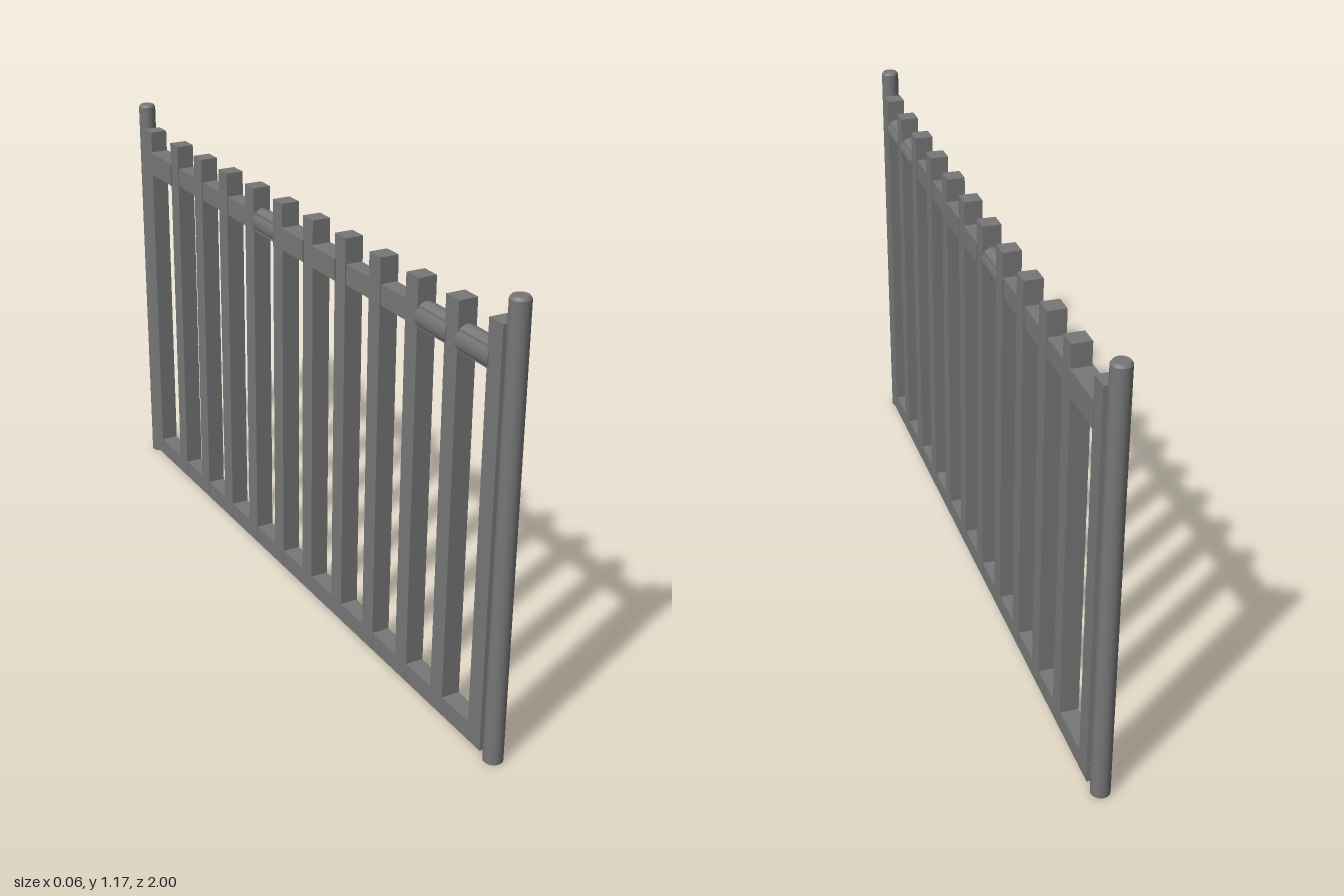
import * as THREE from 'three';

const darkGrey = new THREE.MeshStandardMaterial({ color: 0x777777 });

export function createModel() {
  const fence = new THREE.Group();
  fence.name = 'fencePanel';

  const add = (name, geometry, x, y, z) => {
    const mesh = new THREE.Mesh(geometry, darkGrey);
    mesh.name = name;
    mesh.position.set(x, y, z);
    fence.add(mesh);
  };
  const box = (name, w, y0, y1, z0, z1, x = 0) =>
    add(name, new THREE.BoxGeometry(w, y1 - y0, z1 - z0), x, (y0 + y1) / 2, (z0 + z1) / 2);

  // Round end posts with a small bevel at the top
  const postProfile = [[0, 0], [0.025, 0], [0.025, 0], [0.025, 1.168], [0.025, 1.168], [0.02, 1.175], [0.02, 1.175], [0, 1.175]]
    .map(([r, y]) => new THREE.Vector2(r, y));
  for (const side of [1, -1]) {
    add(side > 0 ? 'frontPost' : 'backPost', new THREE.LatheGeometry(postProfile, 20), -0.002, 0, side * 0.975);
  }

  // Square pickets, evenly spaced except for the closing one at the back
  const pickets = Array.from({ length: 11 }, (_, i) => 0.925 - i * 0.1654);
  pickets.push(-0.922);
  for (const z of pickets) box('picket', 0.05, 0.017, 1.105, z - 0.026, z + 0.026);

  // Long rails
  box('bottomRail', 0.048, 0.015, 0.067, -0.95, 0.95);
  box('topRail', 0.044, 0.984, 1.038, -0.948, 0.948);

  // Thicker sleeves on the top rail, between neighbouring pickets
  const sleeveEnds = (bay) => [pickets[bay + 1] + 0.02, pickets[bay] - 0.02];

  // Smooth oval sleeves
  for (const [bay, halfWidth] of [[0, 0.029], [1, 0.029], [6, 0.027]]) {
    const [z0, z1] = sleeveEnds(bay);
    const oval = new THREE.CylinderGeometry(1, 1, z1 - z0, 28);
    oval.rotateX(Math.PI / 2).scale(halfWidth, 0.036, 1);
    add('roundedRailSleeve', oval, 0, 1.01, (z0 + z1) / 2);
  }

  // Square sleeves, the one at the back taller
  for (const [bay, y0, y1] of [[4, 0.982, 1.04], [5, 0.982, 1.04], [10, 0.975, 1.044]]) {
    box('squareRailSleeve', 0.056, y0, y1, ...sleeveEnds(bay), -0.001);
  }

  return fence;
}
